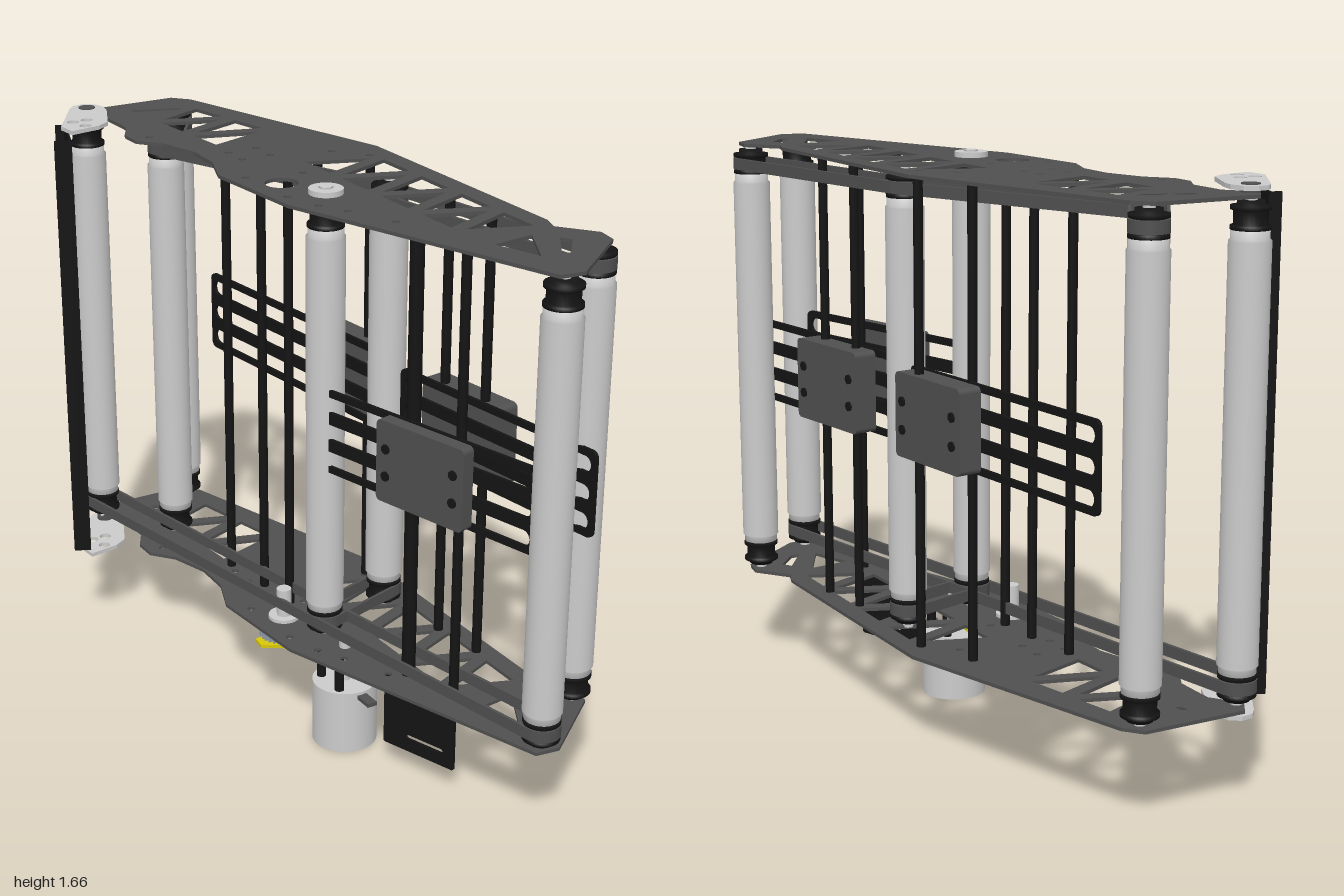
import * as THREE from 'three';

const mat = (color) => new THREE.MeshStandardMaterial({ color, side: THREE.DoubleSide });
const grey = mat(0xcccccc), dark = mat(0x505050), black = mat(0x141414), yellow = mat(0xd8c80a), steel = mat(0x8e9aa8);
const V = (x, y) => new THREE.Vector2(x, y);

export function createModel() {
  const model = new THREE.Group();
  const add = (name, geo, material, x = 0, y = 0, z = 0, parent = model) => {
    const m = new THREE.Mesh(geo, material);
    m.name = name;
    m.position.set(x, y, z);
    parent.add(m);
    return m;
  };
  const shapeOf = (pts) => new THREE.Shape(pts.map(([x, z]) => V(x, z)));
  const circle = (x, z, r) => new THREE.Path().absarc(x, z, r, 0, Math.PI * 2, true);
  // Horizontal sheet: shape is drawn in (x, z), top face at y = 0
  const sheet = (shape, t) =>
    new THREE.ExtrudeGeometry(shape, { depth: t, bevelEnabled: false, curveSegments: 14 }).rotateX(Math.PI / 2);
  const cyl = (r, h, n = 24) => new THREE.CylinderGeometry(r, r, h, n);

  // --- Side plates with truss windows ---
  const outline = [[-0.22, -0.995], [0.085, -0.99], [0.127, -0.94], [0.34, -0.2], [0.343, 0.61], [0.325, 0.66],
    [0.40, 0.76], [0.39, 0.82], [0.18, 0.98], [0.11, 0.97], [-0.165, 0.15], [-0.19, -0.185], [-0.145, -0.3],
    [-0.14, -0.42], [-0.175, -0.54], [-0.23, -0.61], [-0.23, -0.68], [-0.19, -0.75], [-0.19, -0.87], [-0.25, -0.95]];
  const windows = [];
  const shrink = (pts, k) => {
    const cx = pts.reduce((s, p) => s + p[0], 0) / pts.length, cz = pts.reduce((s, p) => s + p[1], 0) / pts.length;
    return pts.map(([x, z]) => [cx + (x - cx) * k, cz + (z - cz) * k]);
  };
  // Zigzag of triangular openings between two rails
  const truss = (l0, l1, r0, r1, n, k) => {
    const node = (i) => {
      const t = i / n, [a, b] = i % 2 ? [r0, r1] : [l0, l1];
      return [a[0] + (b[0] - a[0]) * t, a[1] + (b[1] - a[1]) * t];
    };
    for (let i = 0; i + 2 <= n; i++) windows.push(shrink([node(i), node(i + 1), node(i + 2)], k));
  };
  truss([0.05, -0.2], [0.07, 0.66], [0.31, -0.2], [0.31, 0.66], 9, 0.68);
  truss([-0.12, -0.95], [-0.08, -0.42], [0.09, -0.95], [0.21, -0.42], 6, 0.66);
  windows.push(shrink([[0.08, 0.68], [0.27, 0.66], [0.15, 0.88]], 0.66), shrink([[0.3, 0.7], [0.33, 0.75], [0.22, 0.88], [0.18, 0.87]], 0.6));
  const screwHoles = [[-0.06, -0.36], [0.03, -0.36], [-0.06, -0.28], [0.03, -0.28], [-0.13, 0.09], [-0.1, 0.2],
    [-0.06, 0.28], [0, 0.42], [-0.18, -0.62], [0.27, -0.13], [0.2, -0.22], [-0.14, -0.12], [0.02, -0.08]];
  const gearHub = [-0.08, -0.027];
  const plateShape = shapeOf(outline);
  windows.forEach((w) => plateShape.holes.push(new THREE.Path(w.map(([x, z]) => V(x, z)))));
  screwHoles.forEach(([x, z]) => plateShape.holes.push(circle(x, z, 0.011)));
  plateShape.holes.push(circle(...gearHub, 0.047));
  const plateGeo = sheet(plateShape, 0.01);
  add('topPlate', plateGeo, dark, 0, 1.64, 0);
  add('bottomPlate', plateGeo, dark, 0, 0.3, 0);

  // --- Rollers with flanged pulleys at both ends ---
  const R = { front: [0.143, 0.945], frontRight: [0.365, 0.79], mid: [-0.025, 0.115],
    midRight: [0.225, 0.045], inner: [-0.08, -0.715], rear: [0.074, -0.945], hinge: [-0.228, -0.945] };
  const bodyGeo = new THREE.LatheGeometry([[0, 0.37], [0.042, 0.37], [0.042, 0.388], [0.05, 0.388], [0.05, 0.405], [0.055, 0.41],
    [0.055, 1.52], [0.05, 1.525], [0.05, 1.545], [0.042, 1.545], [0.042, 1.56], [0, 1.56]].map(([r, y]) => V(r, y)), 32);
  const pulleyGeo = new THREE.LatheGeometry([[0, -0.035], [0.052, -0.035], [0.052, -0.025], [0.044, -0.022], [0.044, 0.012],
    [0.052, 0.015], [0.052, 0.025], [0.035, 0.027], [0.035, 0.038], [0, 0.038]].map(([r, y]) => V(r, y)), 28);
  for (const [x, z] of Object.values(R)) {
    const roller = new THREE.Group();
    roller.name = 'roller';
    roller.position.set(x, 0, z);
    model.add(roller);
    add('rollerTube', bodyGeo, grey, 0, 0, 0, roller);
    add('rollerAxle', cyl(0.016, 1.336, 12), grey, 0, 0.963, 0, roller);
    add('upperPulley', pulleyGeo, black, 0, 1.583, 0, roller);
    add('lowerPulley', pulleyGeo, black, 0, 0.35, 0, roller).rotation.x = Math.PI;
  }

  // --- Drive belts: loops around pairs of rollers ---
  const belt = ([x0, z0], [x1, z1], y) => {
    const a = Math.atan2(z1 - z0, x1 - x0), h = Math.PI / 2;
    const loop = (p, r) => p.absarc(x1, z1, r, a - h, a + h, false).absarc(x0, z0, r, a + h, a + 3 * h, false);
    const s = loop(new THREE.Shape(), 0.053);
    s.holes.push(loop(new THREE.Path(), 0.044));
    add('belt', sheet(s, 0.034), dark, 0, y, 0);
  };
  belt(R.midRight, R.frontRight, 1.595);
  belt(R.inner, R.midRight, 1.595);
  belt(R.inner, R.rear, 1.595);
  belt(R.hinge, R.mid, 0.372);
  belt(R.mid, R.front, 0.372);
  belt(R.mid, R.midRight, 0.372);

  // --- Standoff rods between the plates ---
  [[0.085, 0.62], [0.05, 0.447], [0.29, 0.44], [0.27, 0.275], [-0.02, -0.095], [0.28, -0.14], [-0.03, -0.23],
    [0.21, -0.315], [-0.05, -0.4]].forEach(([x, z], i) =>
    add('standoff', cyl(i === 1 ? 0.02 : 0.014, 1.33, 8), black, x, 0.965, z));

  // --- Slotted rails carrying a sliding block ---
  const roundRect = (s, x, y, w, h, r) => s.moveTo(x + r, y).lineTo(x + w - r, y).absarc(x + w - r, y + r, r, -Math.PI / 2, 0, false)
    .lineTo(x + w, y + h - r).absarc(x + w - r, y + h - r, r, 0, Math.PI / 2, false)
    .lineTo(x + r, y + h).absarc(x + r, y + h - r, r, Math.PI / 2, Math.PI, false)
    .lineTo(x, y + r).absarc(x + r, y + r, r, Math.PI, Math.PI * 1.5, false);
  // Frame whose local x runs from p0 to p1 and whose local z faces outwards
  const along = (name, [x0, z0], [x1, z1]) => {
    const g = new THREE.Group();
    g.name = name;
    g.position.set(x0, 0, z0);
    g.rotation.y = Math.atan2(z0 - z1, x1 - x0);
    model.add(g);
    return [g, Math.hypot(x1 - x0, z1 - z0)];
  };
  const slide = (name, p0, p1, blockStart, thick) => {
    const [g, len] = along(name, p0, p1);
    const s = roundRect(new THREE.Shape(), 0, 0, len, 0.25, 0.02);
    for (const y of [0.02, 0.102, 0.184]) s.holes.push(roundRect(new THREE.Path(), 0.018, y, len - 0.036, 0.045, 0.022));
    add('slottedRail', new THREE.ExtrudeGeometry(s, { depth: 0.01, bevelEnabled: false, curveSegments: 5 }), black, 0, 0.84, 0, g);
    const b = roundRect(new THREE.Shape(), 0, 0, 0.31, 0.24, 0.015);
    add('slidingBlock', new THREE.ExtrudeGeometry(b, { depth: thick, bevelEnabled: false }), dark, blockStart, 0.846, 0.011, g);
    for (const x of [0.035, 0.275]) for (const y of [0.925, 1.005])
      add('blockBolt', cyl(0.014, 0.008, 12).rotateX(Math.PI / 2), black, blockStart + x, y, 0.012 + thick, g);
  };
  slide('frontRightSlide', [0.325, 0.885], [0.22, 0.125], 0.375, 0.07);
  slide('rearRightSlide', [0.24, -0.03], [0.15, -0.87], 0.03, 0.07);
  slide('leftSlide', [-0.045, 0.125], [0.145, 0.885], 0.26, 0.04);

  // --- Hinge plates and the upright guard channel ---
  const hingeShape = shapeOf([[-0.272, -0.965], [-0.25, -0.988], [-0.215, -0.992], [-0.185, -0.97], [-0.175, -0.93],
    [-0.185, -0.89], [-0.24, -0.77], [-0.28, -0.745], [-0.375, -0.73], [-0.38, -0.795]]);
  [[-0.33, -0.82], [-0.285, -0.82], [-0.315, -0.765]].forEach(([x, z]) => hingeShape.holes.push(circle(x, z, 0.018)));
  const hingeGeo = sheet(hingeShape, 0.012);
  for (const [y, k] of [[1.66, 1.65], [0.282, 0.28]]) {
    add('hingePlate', hingeGeo, grey, 0, y, 0);
    add('hingeBolt', cyl(0.025, 0.026, 16), dark, -0.225, k, -0.945);
  }
  const guard = [[[-0.345, -0.91], [-0.32, -0.9]], [[-0.32, -0.9], [-0.38, -0.735]], [[-0.38, -0.735], [-0.42, -0.755]]];
  guard.forEach(([a, b]) => {
    const [g, len] = along('guardPanel', a, b);
    add('guardFace', new THREE.BoxGeometry(len + 0.006, 1.335, 0.008), black, len / 2, 0.963, 0, g);
  });

  // --- Motor, gears and bearing cap ---
  add('motor', cyl(0.095, 0.195, 40), grey, -0.02, 0.0975, 0.22);
  add('motorShaft', cyl(0.017, 0.14, 12), grey, -0.02, 0.25, 0.22);
  for (let i = 0; i < 4; i++) {
    const a = Math.PI * (0.25 + i / 2);
    add('motorPost', cyl(0.014, 0.1, 10), black, -0.02 + 0.07 * Math.cos(a), 0.243, 0.22 + 0.07 * Math.sin(a));
  }
  add('motorTerminal', new THREE.BoxGeometry(0.03, 0.012, 0.08), dark, -0.02, 0.18, 0.33);
  const gear = (x, z, r, y) => {
    const n = Math.round(r * 400), s = new THREE.Shape();
    for (let i = 0; i < n * 4; i++) {
      const a = (i / (n * 4)) * Math.PI * 2, q = i % 4 < 2 ? r : r * 0.9;
      s[i ? 'lineTo' : 'moveTo'](x + q * Math.cos(a), z + q * Math.sin(a));
    }
    s.holes.push(circle(x, z, 0.016));
    add('gear', sheet(s, 0.03), steel, 0, y, 0);
  };
  gear(...R.mid, 0.075, 0.28);
  gear(...gearHub, 0.075, 0.275);
  gear(-0.02, 0.22, 0.035, 0.28);
  const bracket = shapeOf([[-0.04, 0.14], [0, 0.125], [0.005, 0.09], [-0.035, 0], [0, -0.11], [-0.02, -0.135],
    [-0.06, -0.12], [-0.11, -0.06], [-0.165, -0.05], [-0.17, -0.01], [-0.12, 0.02]]);
  bracket.holes.push(circle(...gearHub, 0.02));
  add('gearBracket', sheet(bracket, 0.01), yellow, 0, 0.237, 0);
  add('bearingCap', cyl(0.048, 0.016, 28), grey, R.mid[0], 1.647, R.mid[1]);
  add('bearingHub', cyl(0.02, 0.02, 6), grey, R.mid[0], 1.65, R.mid[1]);
  add('gearAxle', cyl(0.016, 0.08, 12), grey, R.mid[0], 0.265, R.mid[1]);
  add('gearHubDisc', cyl(0.046, 0.025, 28), grey, gearHub[0], 0.297, gearHub[1]);
  add('gearHubAxle', cyl(0.022, 0.19, 16), grey, gearHub[0], 0.3, gearHub[1]);

  // --- Hanging slotted tab ---
  const [tab, tabLen] = along('mountingTab', [0.003, 0.405], [0.083, 0.64]);
  const tabShape = roundRect(new THREE.Shape(), 0, 0.075, tabLen, 0.218, 0.006);
  tabShape.holes.push(roundRect(new THREE.Path(), 0.08, 0.115, 0.13, 0.014, 0.006));
  add('tabSheet', new THREE.ExtrudeGeometry(tabShape, { depth: 0.008, bevelEnabled: false }), black, 0, 0, 0, tab);

  return model;
}
